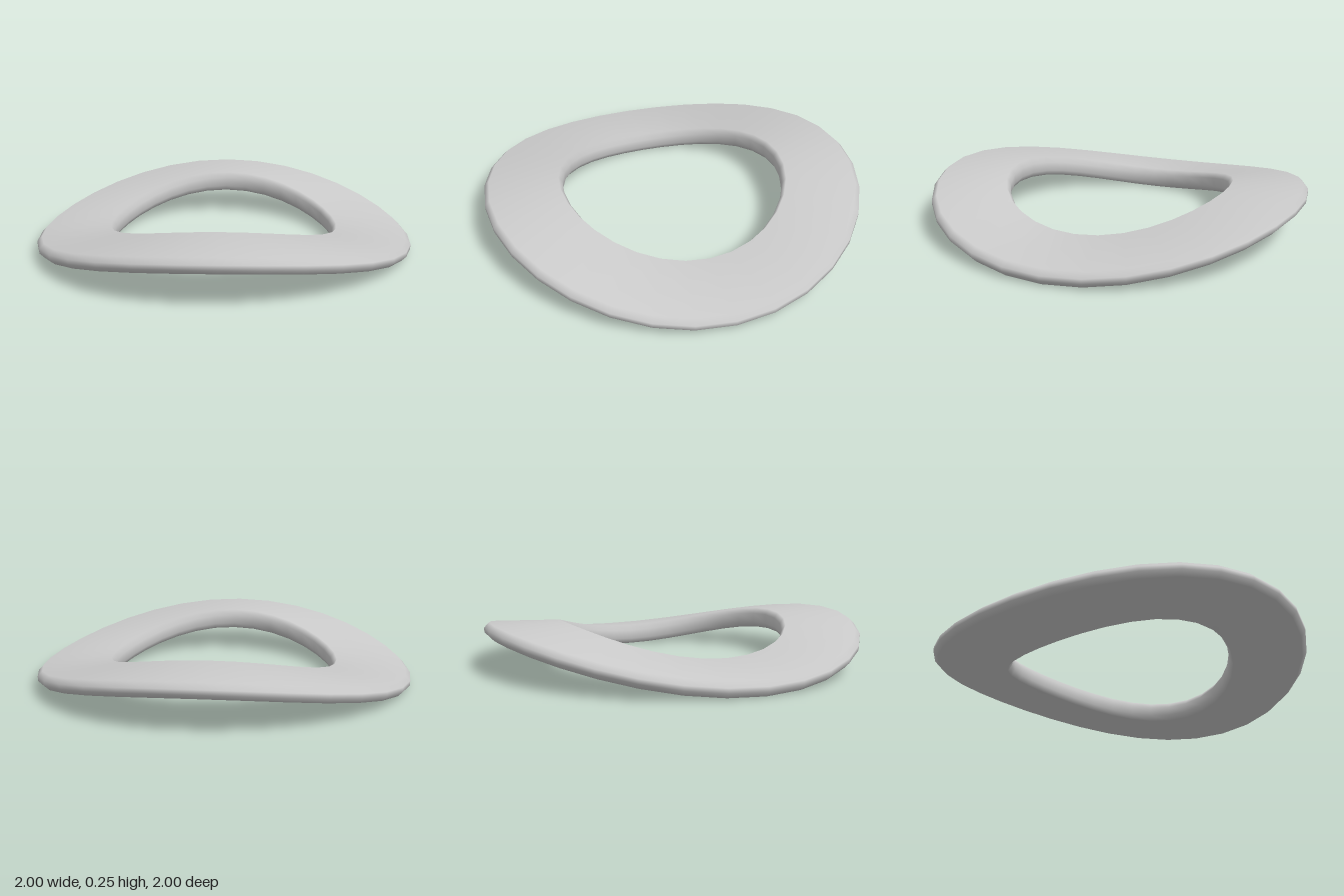
import * as THREE from 'three';

const SEGMENTS = 32;
const MID = 0.1225;

// Cross-section, counter-clockwise: radius, wave amplitude, offset from the middle surface
const SECTION = [
  [0.975, 0.085, -0.0375],
  [1.0, 0.085, -0.012],
  [1.0, 0.085, 0.012],
  [0.975, 0.085, 0.0375],
  [0.61, 0.0675, 0.055],
  [0.59, 0.0675, 0.025],
  [0.59, 0.0675, -0.025],
  [0.61, 0.0675, -0.055],
];

// Sweeps the section round the axis while it rises and falls twice per turn
function waveRing() {
  const positions = [];
  const indices = [];
  const n = SECTION.length;
  for (let i = 0; i < SEGMENTS; i++) {
    const a = (i / SEGMENTS) * Math.PI * 2;
    const next = (i + 1) % SEGMENTS;
    SECTION.forEach(([r, amplitude, offset], j) => {
      const y = MID - amplitude * Math.cos(2 * a) + offset;
      positions.push(r * Math.cos(a), y, r * Math.sin(a));
      const k = (j + 1) % n;
      const p = i * n + j, q = i * n + k;
      const s = next * n + k, t = next * n + j;
      indices.push(p, q, s, p, s, t);
    });
  }
  const geometry = new THREE.BufferGeometry();
  geometry.setAttribute('position', new THREE.Float32BufferAttribute(positions, 3));
  geometry.setIndex(indices);
  geometry.computeVertexNormals();
  return geometry;
}

export function createModel() {
  const group = new THREE.Group();
  group.name = 'waveWasher';
  const ring = new THREE.Mesh(waveRing(), new THREE.MeshStandardMaterial({ color: 0xcccccc }));
  ring.name = 'curvedRing';
  group.add(ring);
  return group;
}
